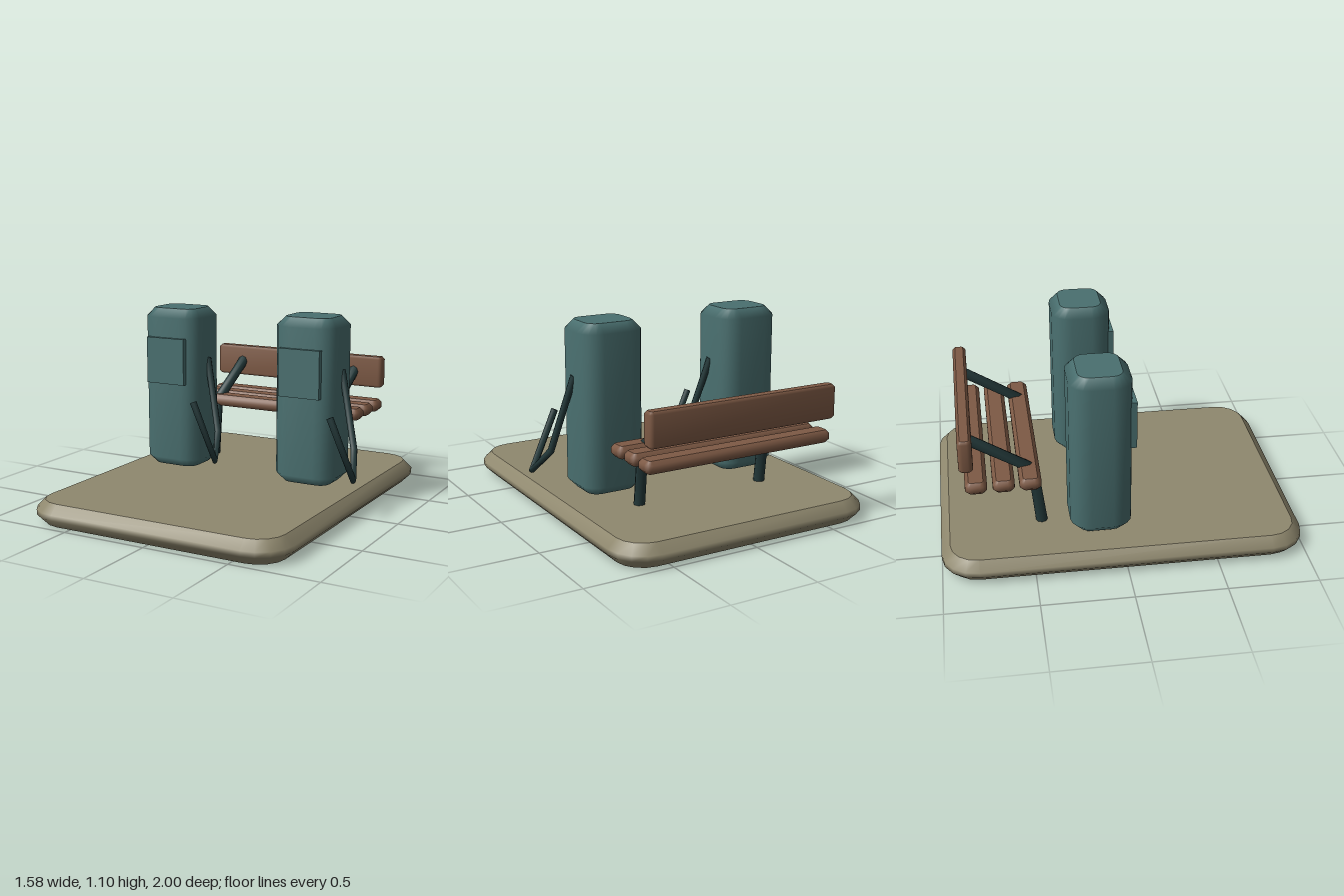
import * as THREE from 'three';
import { mergeGeometries } from 'three/addons/utils/BufferGeometryUtils.js';

// Straight-segment path whose joints are mitred
class Polyline extends THREE.Curve {
  constructor(points) {
    super();
    this.points = points.map((p) => new THREE.Vector3(...p));
  }
  getPointAt(u, target = new THREE.Vector3()) {
    return target.copy(this.points[Math.round(u * (this.points.length - 1))]);
  }
  getTangentAt(u, target = new THREE.Vector3()) {
    const p = this.points, i = Math.round(u * (p.length - 1));
    target.set(0, 0, 0);
    if (i > 0) target.add(p[i].clone().sub(p[i - 1]).normalize());
    if (i < p.length - 1) target.add(p[i + 1].clone().sub(p[i]).normalize());
    return target.normalize();
  }
}

// Capped eight-sided rod along a polyline
function rod(points, radius) {
  const path = new Polyline(points);
  const parts = [new THREE.TubeGeometry(path, points.length - 1, radius, 8)];
  for (const end of [0, 1]) {
    const dir = path.getTangentAt(end).multiplyScalar(end ? 1 : -1);
    const q = new THREE.Quaternion().setFromUnitVectors(new THREE.Vector3(0, 0, 1), dir);
    const p = path.getPointAt(end);
    parts.push(new THREE.CircleGeometry(radius, 8).applyQuaternion(q).translate(p.x, p.y, p.z));
  }
  return mergeGeometries(parts);
}

// Block with rounded plan corners, bevelled rims and flat lids; stands on y = 0
function block(w, h, d, bevel, r, steps = 4) {
  const ring = (y, inset) => {
    const out = [];
    for (let c = 0; c < 4; c++) {
      const sx = c === 0 || c === 3 ? 1 : -1, sz = c < 2 ? 1 : -1;
      for (let s = 0; s <= steps; s++) {
        const a = (c + s / steps) * Math.PI / 2;
        out.push([sx * (w / 2 - r) + Math.cos(a) * (r - inset), y,
          sz * (d / 2 - r) + Math.sin(a) * (r - inset)]);
      }
    }
    return out;
  };
  const rings = [ring(0, bevel), ring(bevel, 0), ring(h - bevel, 0), ring(h, bevel)];
  const n = rings[0].length, index = [];
  const verts = [...rings.flat(), ...rings[0], ...rings[3]];
  for (let k = 0; k < 3; k++) {
    for (let i = 0; i < n; i++) {
      const a = k * n + i, b = k * n + (i + 1) % n;
      index.push(a, a + n, b, b, a + n, b + n);
    }
  }
  for (let i = 1; i < n - 1; i++) {
    index.push(4 * n, 4 * n + i, 4 * n + i + 1);
    index.push(5 * n, 5 * n + i + 1, 5 * n + i);
  }
  const g = new THREE.BufferGeometry();
  g.setAttribute('position', new THREE.Float32BufferAttribute(verts.flat(), 3));
  g.setIndex(index);
  g.computeVertexNormals();
  return g;
}

export function createModel() {
  const mat = (name, color) => {
    const m = new THREE.MeshStandardMaterial({ color });
    m.name = name;
    return m;
  };
  const stone = mat('stone', 0x8f886e);
  const teal = mat('teal', 0x4a7070);
  const wood = mat('wood', 0x7e5a45);
  const iron = mat('dark iron', 0x243a3b);

  const add = (parent, name, geometry, material, x = 0, y = 0, z = 0) => {
    const mesh = new THREE.Mesh(geometry, material);
    mesh.name = name;
    mesh.position.set(x, y, z);
    parent.add(mesh);
    return mesh;
  };
  const group = (parent, name) => {
    const g = new THREE.Group();
    g.name = name;
    parent.add(g);
    return g;
  };

  const model = new THREE.Group();
  model.name = 'pumpIsland';
  const cx = -0.013;

  // Paved slab
  add(model, 'slab', block(1.555, 0.13, 2, 0.05, 0.2), stone, cx);

  // Two pumps, each with a front panel and a hanging hose
  for (const [side, x] of [['right', -0.448], ['left', 0.422]]) {
    const pump = group(model, side + 'Pump');
    pump.position.x = x;
    add(pump, 'cabinet', block(0.376, 0.947, 0.338, 0.05, 0.11), teal, 0, 0.148, -0.12);
    add(pump, 'frontPanel', new THREE.BoxGeometry(0.25, 0.272, 0.04), teal, -0.002, 0.791, 0.05);
    add(pump, 'hose', rod([
      [0.178, 0.8, -0.12], [0.29, 0.375, -0.045], [0.345, 0.237, 0.088], [0.2, 0.568, 0.088],
    ], 0.02), iron);
  }

  // Bench: three seat slats, a backrest and two bent supports
  const bench = group(model, 'bench');
  for (const z of [-0.5, -0.643, -0.79]) {
    add(bench, 'seatSlat', block(1.15, 0.07, 0.118, 0.02, 0.035), wood, cx, 0.435, z);
  }
  add(bench, 'backrest', block(1.15, 0.19, 0.077, 0.015, 0.025), wood, cx, 0.576, -0.836);
  for (const x of [-0.406, 0.378]) {
    add(bench, 'support', rod([
      [x, 0.125, -0.436], [x, 0.47, -0.476], [x, 0.685, -0.83],
    ], 0.032), iron);
  }
  return model;
}
